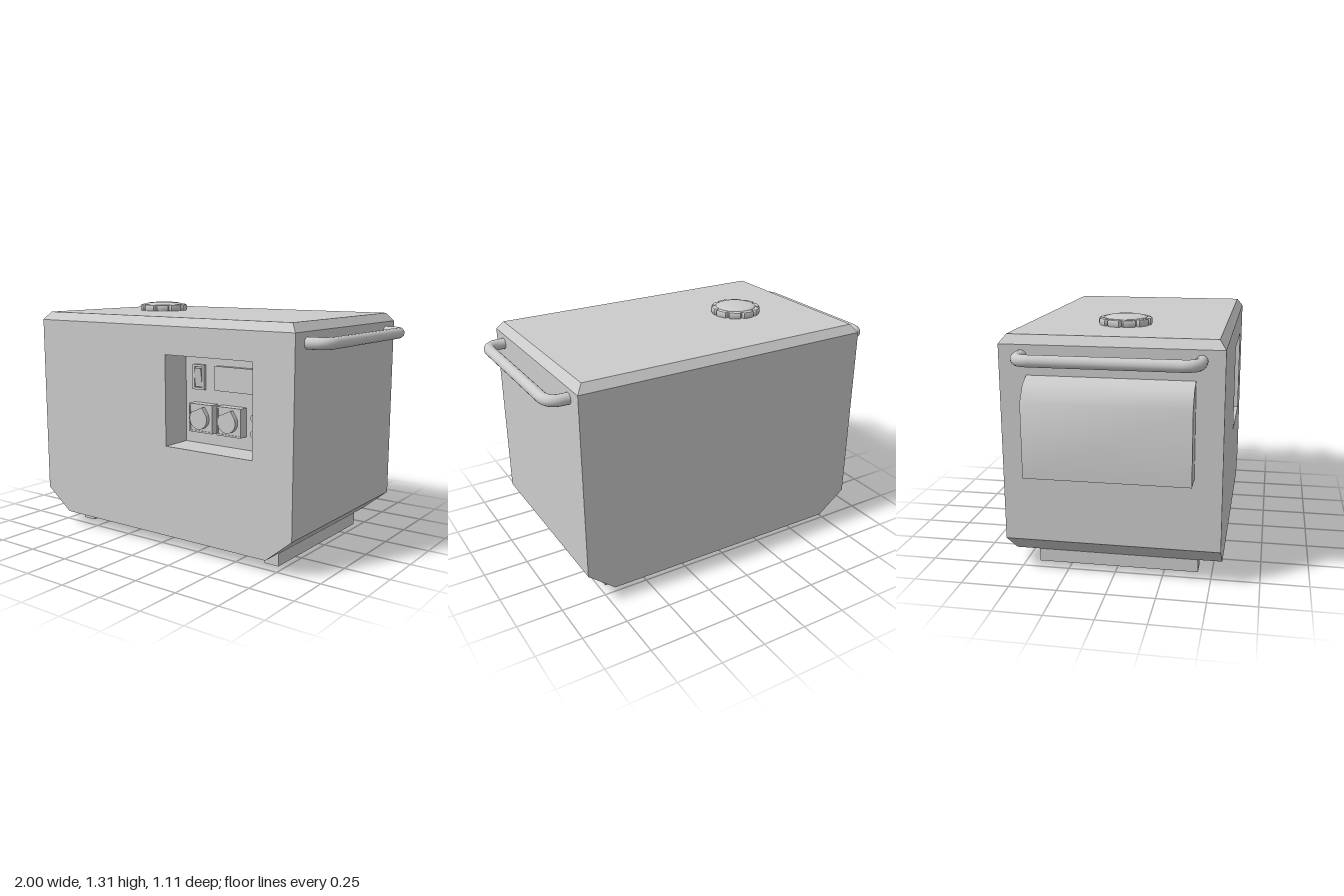
import * as THREE from 'three';
import { toCreasedNormals } from 'three/addons/utils/BufferGeometryUtils.js';

const material = new THREE.MeshStandardMaterial({ color: 0xcccccc });

const polygon = (points) => new THREE.Shape(points.map(([x, y]) => new THREE.Vector2(x, y)));

export function createModel() {
  const model = new THREE.Group();
  model.name = 'generator';

  const add = (name, geometry, x = 0, y = 0, z = 0, parent = model) => {
    const mesh = new THREE.Mesh(geometry, material);
    mesh.name = name;
    mesh.position.set(x, y, z);
    parent.add(mesh);
    return mesh;
  };
  // Box given by its limits on each axis
  const addBox = (name, x0, x1, y0, y1, z0, z1, parent = model) =>
    add(name, new THREE.BoxGeometry(x1 - x0, y1 - y0, z1 - z0),
      (x0 + x1) / 2, (y0 + y1) / 2, (z0 + z1) / 2, parent);
  const extrude = (shape, depth, options = {}) =>
    new THREE.ExtrudeGeometry(shape, { depth, bevelEnabled: false, ...options });

  // Housing: one profile for the solid rear and the front slab with the panel opening
  const left = -0.845, right = 0.865, half = 0.553, panelZ = 0.375;
  const profile = [[-0.68, 0.07], [0.715, 0.07], [right, 0.195], [right, 1.21], [left, 1.21], [left, 0.195]];
  add('housingRear', extrude(polygon(profile), panelZ + half), 0, 0, -half);
  const front = polygon(profile);
  front.holes.push(polygon([[0.08, 0.57], [0.08, 1.06], [0.63, 1.06], [0.63, 0.57]]));
  add('housingFront', extrude(front, half - panelZ), 0, 0, panelZ);

  // Lid: a box whose top is drawn in on all sides
  const lid = new THREE.BoxGeometry(right - left, 0.045, half * 2);
  const p = lid.attributes.position;
  for (let i = 0; i < p.count; i++) {
    if (p.getY(i) < 0) continue;
    p.setX(i, p.getX(i) - Math.sign(p.getX(i)) * 0.035);
    p.setZ(i, p.getZ(i) - Math.sign(p.getZ(i)) * 0.033);
  }
  lid.computeVertexNormals();
  add('lid', lid, (left + right) / 2, 1.2325, 0);

  // Feet
  addBox('footRight', -0.68, -0.6, 0, 0.07, -0.427, 0.427);
  addBox('footLeft', 0.63, 0.715, 0, 0.07, -0.427, 0.427);

  // Carrying handles: bent tubes with rounded corners
  const y = 1.155, zEnd = 0.44, bend = 0.08;
  for (const s of [-1, 1]) {
    const v = (x, z) => new THREE.Vector3(s * x, y, z);
    const path = new THREE.CurvePath();
    path.add(new THREE.LineCurve3(v(0.82, -zEnd), v(0.97 - bend, -zEnd)));
    path.add(new THREE.QuadraticBezierCurve3(v(0.97 - bend, -zEnd), v(0.97, -zEnd), v(0.97, -zEnd + bend)));
    path.add(new THREE.LineCurve3(v(0.97, -zEnd + bend), v(0.97, zEnd - bend)));
    path.add(new THREE.QuadraticBezierCurve3(v(0.97, zEnd - bend), v(0.97, zEnd), v(0.97 - bend, zEnd)));
    path.add(new THREE.LineCurve3(v(0.97 - bend, zEnd), v(0.82, zEnd)));
    add(s > 0 ? 'handleLeft' : 'handleRight', new THREE.TubeGeometry(path, 100, 0.03, 16));
  }

  // Exhaust hood on the side
  const hood = polygon([[left, 0.57], [left, 1.06], [-0.91, 1.03], [-0.965, 0.95], [-0.965, 0.57]]);
  add('exhaustHood', toCreasedNormals(extrude(hood, 0.83), 0.75), 0, 0, -0.415);

  // Fuel cap: notched grip ring with a domed top
  const cap = new THREE.Group();
  cap.name = 'fuelCap';
  cap.position.set(-0.39, 1.25, -0.005);
  model.add(cap);
  const ring = [], notches = 10;
  for (let i = 0; i < notches; i++) {
    const add2 = (r, t) => {
      const a = (i + t) / notches * Math.PI * 2;
      ring.push([r * Math.cos(a), r * Math.sin(a)]);
    };
    add2(0.113, -0.1); add2(0.113, 0.1); add2(0.13, 0.2);
    for (const t of [0.35, 0.5, 0.65, 0.8]) add2(0.13, t);
  }
  const grip = extrude(polygon(ring), 0.02,
    { bevelEnabled: true, bevelSize: 0.01, bevelThickness: 0.01, bevelSegments: 2 });
  grip.rotateX(-Math.PI / 2);
  add('capGrip', toCreasedNormals(grip, 0.6), 0, 0.012, 0, cap);
  const dome = [[0.118, 0], [0.118, 0.04], [0.105, 0.047], [0.085, 0.052], [0.05, 0.055], [0, 0.056]];
  add('capDome', new THREE.LatheGeometry(dome.map(([r, h]) => new THREE.Vector2(r, h)), 40), 0, 0, 0, cap);

  // Control panel inside the recess
  const panel = new THREE.Group();
  panel.name = 'controlPanel';
  panel.position.z = panelZ;
  model.add(panel);

  const frame = polygon([[0.14, 0.865], [0.215, 0.865], [0.215, 1.0], [0.14, 1.0]]);
  frame.holes.push(polygon([[0.152, 0.877], [0.152, 0.988], [0.203, 0.988], [0.203, 0.877]]));
  add('switchFrame', extrude(frame, 0.02), 0, 0, 0, panel);
  const rocker = addBox('switchRocker', 0.155, 0.2, 0.882, 0.983, -0.01, 0.022, panel);
  rocker.rotation.x = 0.15;
  addBox('display', 0.29, 0.57, 0.87, 1.0, -0.01, 0.025, panel);

  // Sockets: square housing with a rim and a round hinged cover
  const cover = new THREE.Shape();
  cover.moveTo(-0.025, 0.064);
  cover.absarc(0, 0, 0.056, Math.PI * 0.8, Math.PI * 2.2, false);
  cover.lineTo(0.025, 0.064);
  const coverGeometry = toCreasedNormals(extrude(cover, 0.025, { curveSegments: 24 }), 0.5);
  const rim = polygon([[-0.077, -0.077], [0.077, -0.077], [0.077, 0.077], [-0.077, 0.077]]);
  rim.holes.push(polygon([[-0.068, -0.068], [-0.068, 0.068], [0.068, 0.068], [0.068, -0.068]]));
  for (const x of [0.217, 0.4]) {
    const socket = new THREE.Group();
    socket.name = 'socket';
    socket.position.set(x, 0.717, 0);
    panel.add(socket);
    add('socketRim', extrude(rim, 0.055), 0, 0, 0, socket);
    addBox('socketBody', -0.068, 0.068, -0.068, 0.068, -0.01, 0.05, socket);
    add('socketCover', coverGeometry, 0, 0, 0.05, socket);
  }

  // Breaker buttons
  for (const by of [0.75, 0.667]) {
    const button = add('breakerButton', new THREE.CylinderGeometry(0.021, 0.021, 0.04, 24), 0.545, by, 0.015, panel);
    button.rotation.x = Math.PI / 2;
  }

  return model;
}
